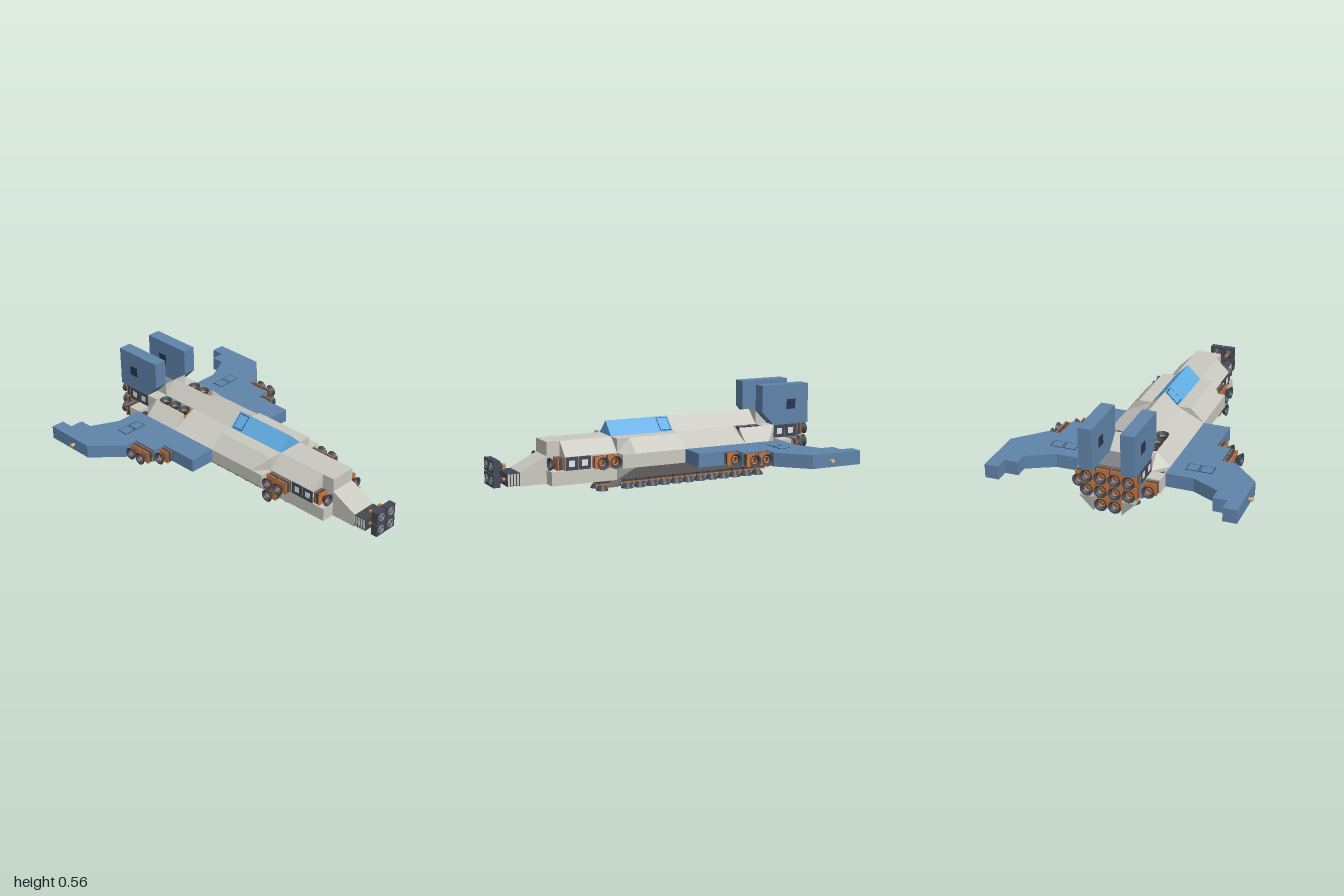
import * as THREE from 'three';
import { mergeGeometries } from 'three/addons/utils/BufferGeometryUtils.js';

const mat = (name, color, side = THREE.FrontSide) => {
  const m = new THREE.MeshStandardMaterial({ color, side, flatShading: true });
  m.name = name;
  return m;
};

export function createModel() {
  const hull = mat('hull grey', 0xc9c8c0);
  const under = mat('lower hull grey', 0xa8a7a2);
  const blue = mat('wing blue', 0x5f84aa);
  const glass = mat('canopy blue', 0x61ade4);
  const dark = mat('engine slate', 0x434954, THREE.DoubleSide);
  const copper = mat('copper', 0xc8733a);
  const mid = mat('machinery grey', 0x80828a);
  const navy = mat('panel navy', 0x263552);
  const white = mat('window white', 0xf8fafc);
  const tan = mat('lamp tan', 0xe0b880);

  const model = new THREE.Group();
  const add = (name, geo, m, parent = model) => {
    const mesh = new THREE.Mesh(geo, m);
    mesh.name = name;
    parent.add(mesh);
    return mesh;
  };
  // Box given by its minimum and maximum on each axis
  const box = (name, m, x0, x1, y0, y1, z0, z1) => {
    const g = new THREE.BoxGeometry(Math.abs(x1 - x0), y1 - y0, z1 - z0);
    g.translate((x0 + x1) / 2, (y0 + y1) / 2, (z0 + z1) / 2);
    return add(name, g, m);
  };
  const extrude = (pts, depth) => new THREE.ExtrudeGeometry(
    new THREE.Shape(pts.map(p => new THREE.Vector2(...p))), { depth, bevelEnabled: false });
  // Side profile of [z, y] points, given a width across x
  const sideProfile = (name, m, pts, width, x = 0) =>
    add(name, extrude(pts, width).rotateY(-Math.PI / 2).translate(x + width / 2, 0, 0), m);
  // Symmetric cross-section (right half, bottom to top) swept from z0 to z1
  const prism = (name, m, half, z0, z1) => {
    const left = half.filter(p => p[0] > 0).map(([x, y]) => [-x, y]).reverse();
    return add(name, extrude([...half, ...left], z1 - z0).translate(0, 0, z0), m);
  };
  // Narrow one end of a prism to a given half width
  const pinch = (mesh, z, w) => {
    const p = mesh.geometry.attributes.position;
    for (let i = 0; i < p.count; i++)
      if (Math.abs(p.getZ(i) - z) < 1e-4) p.setX(i, THREE.MathUtils.clamp(p.getX(i), -w, w));
    mesh.geometry.computeVertexNormals();
  };

  // Main fuselage: sloped keel, straight waist, core under the deck, pinched ends
  const keel = [[0.16, 0.08], [0.24, 0.16]];
  const upper = [[0.24, 0.16], [0.24, 0.24], [0.16, 0.32]];
  prism('keel', under, keel, -0.68, 0.2);
  box('waist', hull, -0.24, 0.24, 0.16, 0.24, -0.68, 0.2);
  box('deckCore', hull, -0.08, 0.08, 0.24, 0.32, -0.68, 0.2);
  pinch(prism('keelFront', under, keel, 0.2, 0.28), 0.28, 0.16);
  pinch(prism('keelRear', under, keel, -0.76, -0.68), -0.76, 0.16);
  pinch(prism('fuselageFront', hull, upper, 0.2, 0.28), 0.28, 0.16);
  pinch(prism('fuselageRear', hull, upper, -0.76, -0.68), -0.76, 0.16);

  // Forward fuselage and nose
  prism('foreUpper', hull, [[0.16, 0.16], [0.16, 0.24], [0.08, 0.32]], 0.28, 0.6);
  box('foreLower', hull, -0.16, 0.16, 0.08, 0.16, 0.28, 0.68);
  box('foreSpine', hull, -0.08, 0.08, 0.16, 0.32, 0.6, 0.68);
  sideProfile('nose', hull, [[0.68, 0.08], [0.84, 0.08], [0.84, 0.16], [0.68, 0.24]], 0.16);
  prism('bellyStep', hull, [[0, 0], [0.08, 0.08]], 0.2, 0.28);

  // Gabled canopy and spine
  const gable = [[0.08, 0.32], [0, 0.4]];
  prism('canopy', glass, gable, -0.12, 0.28);
  prism('spine', hull, gable, -0.68, -0.12);
  sideProfile('spineTail', hull, [[-0.68, 0.32], [-0.68, 0.4], [-0.76, 0.32]], 0.16);

  // Rear machinery bay
  box('engineBay', mid, -0.16, 0.16, 0.16, 0.32, -0.92, -0.76);
  prism('rearKeel', under, [[0.08, 0.08], [0.16, 0.16]], -0.92, -0.76);

  // Thruster: bell opens toward -y, square housing edged with copper frames
  const profile = [[0.012, 0], [0.012, -0.006], [0.03, -0.038], [0.038, -0.04], [0.03, -0.026], [0.014, -0.004], [0, 0.002]];
  const bell = new THREE.LatheGeometry(profile.map(p => new THREE.Vector2(...p)), 12);
  const housing = new THREE.BoxGeometry(0.066, 0.04, 0.066).translate(0, 0.02, 0);
  const slab = (w, h, y) => new THREE.BoxGeometry(w, h, w).translate(0, y, 0);
  const glow = new THREE.TorusGeometry(0.018, 0.005, 4, 12).rotateX(Math.PI / 2).translate(0, -0.021, 0);
  const trim = mergeGeometries([glow, slab(0.072, 0.007, 0.001), slab(0.069, 0.005, 0.03)]);
  const down = new THREE.Vector3(0, -1, 0);
  const thruster = (name, x, y, z, dx, dy, dz) => {
    const g = new THREE.Group();
    g.name = name;
    add('bell', bell, dark, g);
    add('housing', housing, dark, g);
    add('copperTrim', trim, copper, g);
    g.position.set(x, y, z);
    g.quaternion.setFromUnitVectors(down, new THREE.Vector3(dx, dy, dz));
    model.add(g);
  };

  // Thin panel on a side wall
  const sidePlate = (name, m, x, y, z, size, t) =>
    box(name, m, x - t, x + t, y - size / 2, y + size / 2, z - size / 2, z + size / 2);

  for (const s of [-1, 1]) {
    // Shoulder blocks beside the pinched ends, the rear one on a dark strut
    box('shoulderFront', hull, s * 0.14, s * 0.24, 0.16, 0.24, 0.2, 0.28);
    box('shoulderRear', hull, s * 0.14, s * 0.24, 0.16, 0.24, -0.84, -0.76);
    box('shoulderStrut', dark, s * 0.185, s * 0.215, 0.18, 0.22, -0.76, -0.7);

    // Deck flanks: steep beside the canopy, shallow behind, then a rim around the roof thrusters
    const bayFront = s < 0 ? -0.44 : -0.52;
    const flank = (name, pts, z0, z1) =>
      add(name, extrude(pts.map(([x, y]) => [s * x, y]), z1 - z0).translate(0, 0, z0), hull);
    flank('canopyFlank', [[0.08, 0.24], [0.24, 0.24], [0.16, 0.32], [0.08, 0.32]], -0.12, 0.2);
    flank('deckFlank', [[0.08, 0.24], [0.24, 0.24], [0.08, 0.32]], bayFront, -0.12);
    flank('bayRim', [[0.16, 0.24], [0.24, 0.24], [0.16, 0.32]], -0.68, bayFront);
    for (let z = bayFront - 0.04; z > -0.68; z -= 0.08) thruster('roofThruster', s * 0.12, 0.28, z, 0, 1, 0);

    // Wing
    const outline = [[0.24, -0.12], [0.4, -0.12], [0.4, -0.36], [0.48, -0.36], [0.48, -0.52], [0.56, -0.52],
      [0.72, -0.68], [0.72, -1], [0.64, -1], [0.64, -0.92], [0.56, -0.92], [0.56, -0.84], [0.4, -0.76], [0.24, -0.76]];
    const wing = extrude(outline.map(([x, z]) => [s * x, z]), 0.08);
    add('wing', wing.rotateX(Math.PI / 2).translate(0, 0.24, 0), blue);

    // Outlined hatches on both wing faces
    for (const x of [0.36, 0.44]) for (const y of [0.16, 0.24]) {
      const c = s * x;
      box('hatchFrame', navy, c - 0.036, c + 0.036, y - 0.001, y + 0.001, -0.681, -0.609);
      box('hatch', blue, c - 0.032, c + 0.032, y - 0.002, y + 0.002, -0.677, -0.613);
    }

    // Wingtip lamp
    const lamp = new THREE.CylinderGeometry(0.012, 0.008, 0.03, 8).rotateZ(-s * Math.PI / 2);
    add('wingtipLamp', lamp.translate(s * 0.73, 0.2, -0.8), tan);

    // Tail fin with an undercut front corner and a panel on each face
    sideProfile('tailFin', blue, [[-0.68, 0.4], [-0.68, 0.56], [-1, 0.56], [-1, 0.32], [-0.76, 0.32]], 0.08, s * 0.12);
    for (const x of [0.08, 0.16]) sidePlate('finPanel', navy, s * x, 0.44, -0.88, 0.06, 0.001);

    // Side windows
    for (const [y, z] of [[0.2, 0.56], [0.2, 0.48], [0.28, -0.8], [0.28, -0.88]]) {
      sidePlate('windowFrame', dark, s * 0.16, y, z, 0.076, 0.002);
      sidePlate('window', white, s * 0.16, y, z, 0.036, 0.003);
    }

    // Canopy hatch lying on the sloped pane
    for (const [name, m, size, t] of [['canopyHatchFrame', navy, 0.07, 0.003], ['canopyHatch', glass, 0.063, 0.005]]) {
      const plate = add(name, new THREE.BoxGeometry(size * 1.35, t, size), m);
      plate.position.set(s * 0.04, 0.36, -0.076);
      plate.rotation.z = -s * Math.PI / 4;
    }

    // Wing, flank and forward thrusters
    for (const [x, z] of [[0.52, -0.48], [0.52, -0.4], [0.44, -0.32]]) thruster('wingThruster', s * x, 0.2, z, s, 0, 0);
    for (const z of [0.32, 0.4]) thruster('flankThruster', s * 0.2, 0.2, z, s, 0, 0);
    thruster('brakeThruster', s * 0.12, 0.2, 0.64, 0, 0, 1);

    // Rear thruster bank
    for (const y of [0.2, 0.28]) for (const x of [0.04, 0.12]) thruster('rearThruster', s * x, y, -0.96, 0, 0, -1);
    thruster('rearThruster', s * 0.04, 0.12, -0.96, 0, 0, -1);
    thruster('outerRearThruster', s * 0.2, 0.2, -0.88, 0, 0, -1);
    const cheek = extrude([[s * 0.08, 0.08], [s * 0.16, 0.16], [s * 0.08, 0.16]], 0.08);
    add('rearCheek', cheek.translate(0, 0, -1), under);

    // Belly lift thrusters
    thruster('bellyThruster', s * 0.04, 0.04, 0.32, 0, -1, 0);
    for (let i = 0; i < 12; i++) thruster('bellyThruster', s * 0.04, 0.04, 0.16 - i * 0.08, 0, -1, 0);

    // Ribbed nose mount and its square-faced emitters
    box('noseMount', dark, s * 0.003, s * 0.077, 0.085, 0.158, 0.84, 0.915);
    for (const z of [0.852, 0.87, 0.888, 0.906])
      box('mountRib', hull, s * 0.074, s * 0.079, 0.088, 0.154, z - 0.006, z + 0.006);
    for (const y of [0.12, 0.2]) {
      const c = s * 0.04;
      const axial = (r1, r2, len, z) => new THREE.CylinderGeometry(r1, r2, len, 8).rotateX(Math.PI / 2).translate(c, y, z);
      box('emitterPlate', dark, c - 0.036, c + 0.036, y - 0.036, y + 0.036, 0.955, 0.996);
      add('emitterNeck', axial(0.03, 0.014, 0.025, 0.945), dark);
      add('emitterBase', axial(0.012, 0.012, 0.025, 0.925), copper);
      add('emitterRing', new THREE.TorusGeometry(0.021, 0.006, 4, 16).translate(c, y, 0.995), mid);
      add('emitterCore', axial(0.009, 0.009, 0.01, 0.995), mid);
    }
  }
  // Single extra thruster low on the right flank
  thruster('lowerFlankThruster', -0.2, 0.12, 0.32, -1, 0, 0);
  return model;
}
